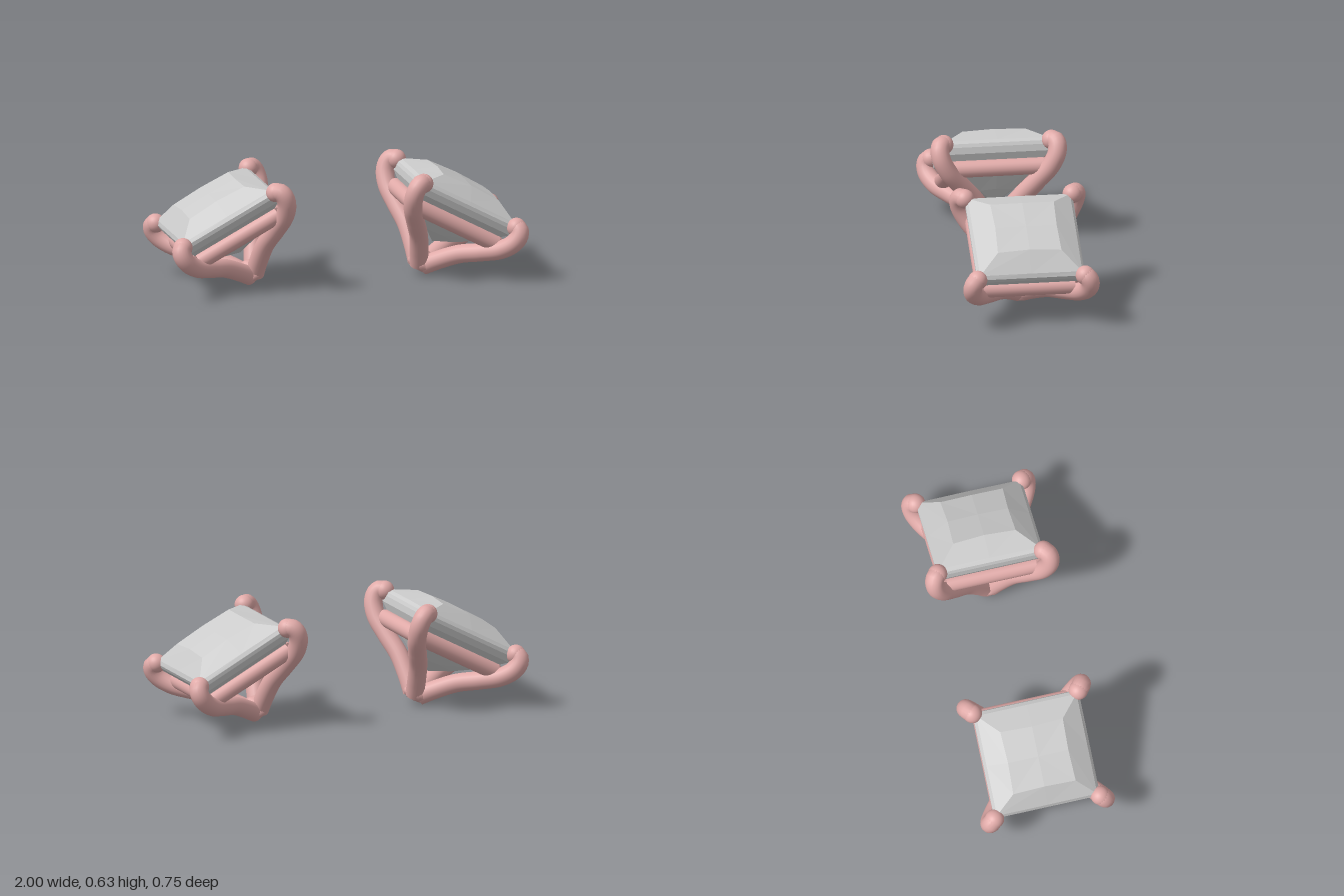
import * as THREE from 'three';

const TILT = THREE.MathUtils.degToRad(28);
const metal = new THREE.MeshStandardMaterial({ color: 0xe0aaa8 });
const stone = new THREE.MeshStandardMaterial({ color: 0xcccccc, flatShading: true });

function add(parent, name, geometry, material) {
  const mesh = new THREE.Mesh(geometry, material);
  mesh.name = name;
  parent.add(mesh);
  return mesh;
}

// Square-cut stone lofted through eight-point rings: [corner, cornerY, middle, middleY]
function gemGeometry() {
  const rings = [
    [0, -0.27, 0, -0.27],
    [0.09, -0.215, 0.1, -0.21],
    [0.195, -0.13, 0.2, -0.125],
    [0.284, -0.035, 0.284, -0.035],
    [0.295, 0, 0.295, 0],
    [0.295, 0.02, 0.295, 0.02],
    [0.28, 0.038, 0.28, 0.04],
    [0.174, 0.102, 0.168, 0.11],
    [0, 0.114, 0, 0.114],
  ];
  const signs = [[1, 1], [1, 0], [1, -1], [0, -1], [-1, -1], [-1, 0], [-1, 1], [0, 1]];
  const pos = [], index = [];
  for (const [c, cy, m, my] of rings) {
    signs.forEach(([sx, sz], i) => {
      const r = i % 2 ? m : c;
      pos.push(sx * r, i % 2 ? my : cy, sz * r);
    });
  }
  for (let k = 0; k < rings.length - 1; k++) {
    for (let i = 0; i < 8; i++) {
      const a = k * 8 + i, b = k * 8 + (i + 1) % 8, c = a + 8, d = b + 8;
      if (k > 0) index.push(a, b, d);
      if (k === 0) index.push(a, d, c);
      else if (k < rings.length - 2) index.push(a, d, c);
    }
  }
  const g = new THREE.BufferGeometry();
  g.setAttribute('position', new THREE.Float32BufferAttribute(pos, 3));
  g.setIndex(index);
  const flat = g.toNonIndexed();
  flat.computeVertexNormals();
  return flat;
}

// Claw path along one diagonal: [offset on both x and z, height]
const clawPath = [
  [0.015, -0.41], [0.06, -0.345], [0.13, -0.258], [0.21, -0.19],
  [0.28, -0.125], [0.316, -0.06], [0.322, -0.01], [0.312, 0.016], [0.295, 0.022],
];

function createEarring() {
  const earring = new THREE.Group();
  const tilted = new THREE.Group();
  tilted.name = 'setting';
  tilted.position.set(0.665, 0.415, 0);
  tilted.rotation.z = -TILT;
  earring.add(tilted);

  add(tilted, 'gem', gemGeometry(), stone);

  // Four claws with rounded tips
  for (const sx of [1, -1]) {
    for (const sz of [1, -1]) {
      const claw = new THREE.Group();
      claw.name = 'claw';
      tilted.add(claw);
      const curve = new THREE.CatmullRomCurve3(
        clawPath.map(([d, y]) => new THREE.Vector3(sx * d, y, sz * d)));
      add(claw, 'clawArm', new THREE.TubeGeometry(curve, 48, 0.051, 20), metal);
      const tip = add(claw, 'clawTip', new THREE.SphereGeometry(0.053, 24, 16), metal);
      tip.position.set(sx * 0.295, 0.022, sz * 0.295);
    }
  }

  // Square frame of round rails beneath the stone
  for (let i = 0; i < 4; i++) {
    const side = new THREE.Group();
    side.name = 'railSide';
    side.rotation.y = i * Math.PI / 2;
    tilted.add(side);
    const rail = add(side, 'rail', new THREE.CylinderGeometry(0.046, 0.046, 0.5, 24), metal);
    rail.rotation.x = Math.PI / 2;
    rail.position.set(0.245, -0.112, 0);
  }

  // Rounded foot where the claws meet
  const foot = [[0, -0.447], [0.035, -0.444], [0.06, -0.435], [0.073, -0.42],
    [0.074, -0.405], [0.068, -0.385], [0.06, -0.36], [0.04, -0.335], [0, -0.325]];
  add(tilted, 'foot', new THREE.LatheGeometry(
    foot.map(([r, y]) => new THREE.Vector2(r, y)), 32), metal);
  return earring;
}

export function createModel() {
  const model = new THREE.Group();
  model.name = 'earrings';
  const left = createEarring();
  left.name = 'leftEarring';
  // Each piece is symmetric front to back, so a half turn gives its mirror image
  const right = createEarring();
  right.name = 'rightEarring';
  right.rotation.y = Math.PI;
  model.add(left, right);
  return model;
}
